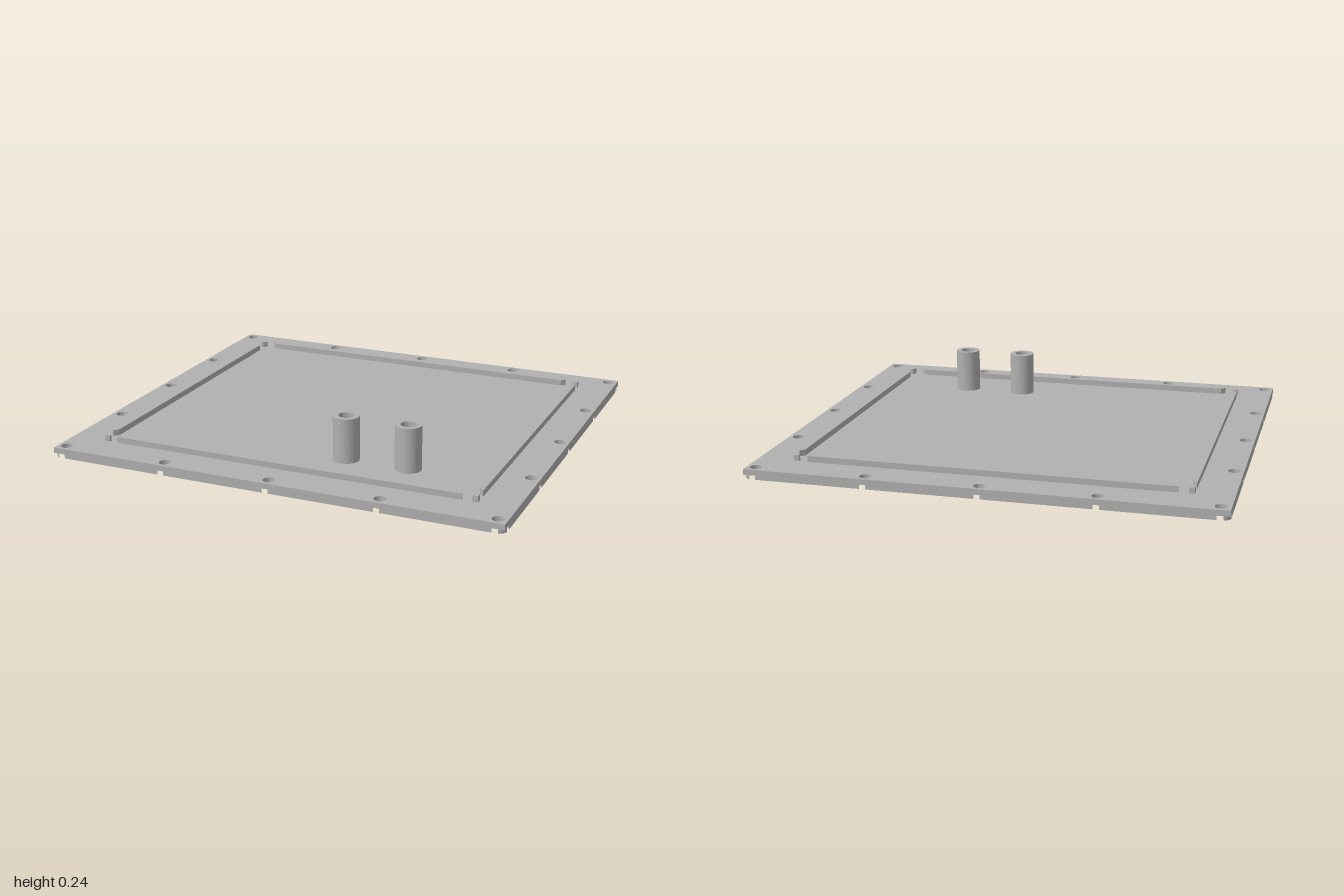
import * as THREE from 'three';
import { toCreasedNormals } from 'three/addons/utils/BufferGeometryUtils.js';

const W = 1, D = 0.91;              // half width and half depth of the plate
const STEP = 0.018, TOP = 0.042;    // counterbore ceiling and plate top
const INSET = 0.04, BORE = 0.042, HOLE = 0.025;
const PIPES = [[0.195, -0.54], [0.47, -0.54]]; // shape coordinates: y is -z

export function createModel() {
  const model = new THREE.Group();
  const grey = new THREE.MeshStandardMaterial({ color: 0xb0b0b0 });
  grey.name = 'grey';

  // Extrude a plan shape upward from y0 to y1
  const slab = (name, shape, y0, y1) => {
    const geo = new THREE.ExtrudeGeometry(shape, { depth: y1 - y0, bevelEnabled: false, curveSegments: 28 });
    geo.rotateX(-Math.PI / 2);
    geo.translate(0, y0, 0);
    const mesh = new THREE.Mesh(toCreasedNormals(geo, 0.6), grey);
    mesh.name = name;
    model.add(mesh);
  };
  const polygon = (pts) => {
    const v = pts.map(([x, y]) => new THREE.Vector2(x, y));
    return new THREE.Shape(THREE.ShapeUtils.isClockWise(v) ? v.reverse() : v);
  };
  const circle = (x, y, r) => new THREE.Path().absarc(x, y, r, 0, Math.PI * 2, true);

  // Screw positions in order around the rim, each side ending at a corner
  const cx = W - INSET, cy = D - INSET;
  const sides = [
    [[-0.48, -cy], [0, -cy], [0.48, -cy], [cx, -cy]],
    [[cx, -0.435], [cx, 0], [cx, 0.435], [cx, cy]],
    [[0.48, cy], [0, cy], [-0.48, cy], [-cx, cy]],
    [[-cx, 0.435], [-cx, 0], [-cx, -0.435], [-cx, -cy]],
  ];

  // Upper layer with through holes
  const upper = polygon([[-W, -D], [W, -D], [W, D], [-W, D]]);
  sides.flat().forEach(([x, y]) => upper.holes.push(circle(x, y, HOLE)));
  PIPES.forEach(([x, y]) => upper.holes.push(circle(x, y, 0.033)));
  slab('plateTop', upper, STEP, TOP);

  // Lower layer, whose counterbores break through the rim
  const open = Math.acos(INSET / BORE);
  const lower = new THREE.Shape();
  sides.forEach((side, i) => side.forEach(([x, y], j) => {
    const a = (i - 1) * Math.PI / 2;
    const turn = j === 3 ? Math.PI / 2 : 0;
    if (i === 0 && j === 0) lower.moveTo(x + BORE * Math.cos(a - open), y + BORE * Math.sin(a - open));
    lower.absarc(x, y, BORE, a - open, a + turn + open, true);
    if (j === 3) {
      // Small corner remnant outside the corner counterbore
      const corner = new THREE.Shape();
      corner.moveTo(Math.sign(x) * W, Math.sign(y) * D);
      corner.absarc(x, y, BORE, a + turn - open, a + open, true);
      corner.closePath();
      slab('plateCorner', corner, 0, STEP);
    }
  }));
  lower.closePath();
  PIPES.forEach(([x, y]) => lower.holes.push(circle(x, y, 0.085)));
  slab('plateBottom', lower, 0, STEP);

  // Hollow pipes
  PIPES.forEach(([x, y]) => {
    const ring = new THREE.Shape().absarc(x, y, 0.056, 0, Math.PI * 2, false);
    ring.holes.push(circle(x, y, 0.033));
    slab('pipe', ring, TOP, 0.236);
  });

  // Locating ribs with mitred ends, and chamfered corner studs
  const RX = 0.842, RZ = 0.755, T = 0.019, RIB = 0.068, S = 0.024;
  for (const s of [-1, 1]) {
    slab('longRib', polygon([[-0.78, s * RZ], [0.78, s * RZ], [0.761, s * (RZ - T)], [-0.761, s * (RZ - T)]]), TOP, RIB);
    slab('sideRib', polygon([[s * RX, -0.693], [s * RX, 0.693], [s * (RX - T), 0.674], [s * (RX - T), -0.674]]), TOP, RIB);
    for (const t of [-1, 1]) {
      const stud = [[0, 0], [S, 0], [S, S / 2], [S / 2, S], [0, S]];
      slab('cornerStud', polygon(stud.map(([u, v]) => [s * (RX - u), t * (RZ - v)])), TOP, RIB);
    }
  }
  return model;
}
